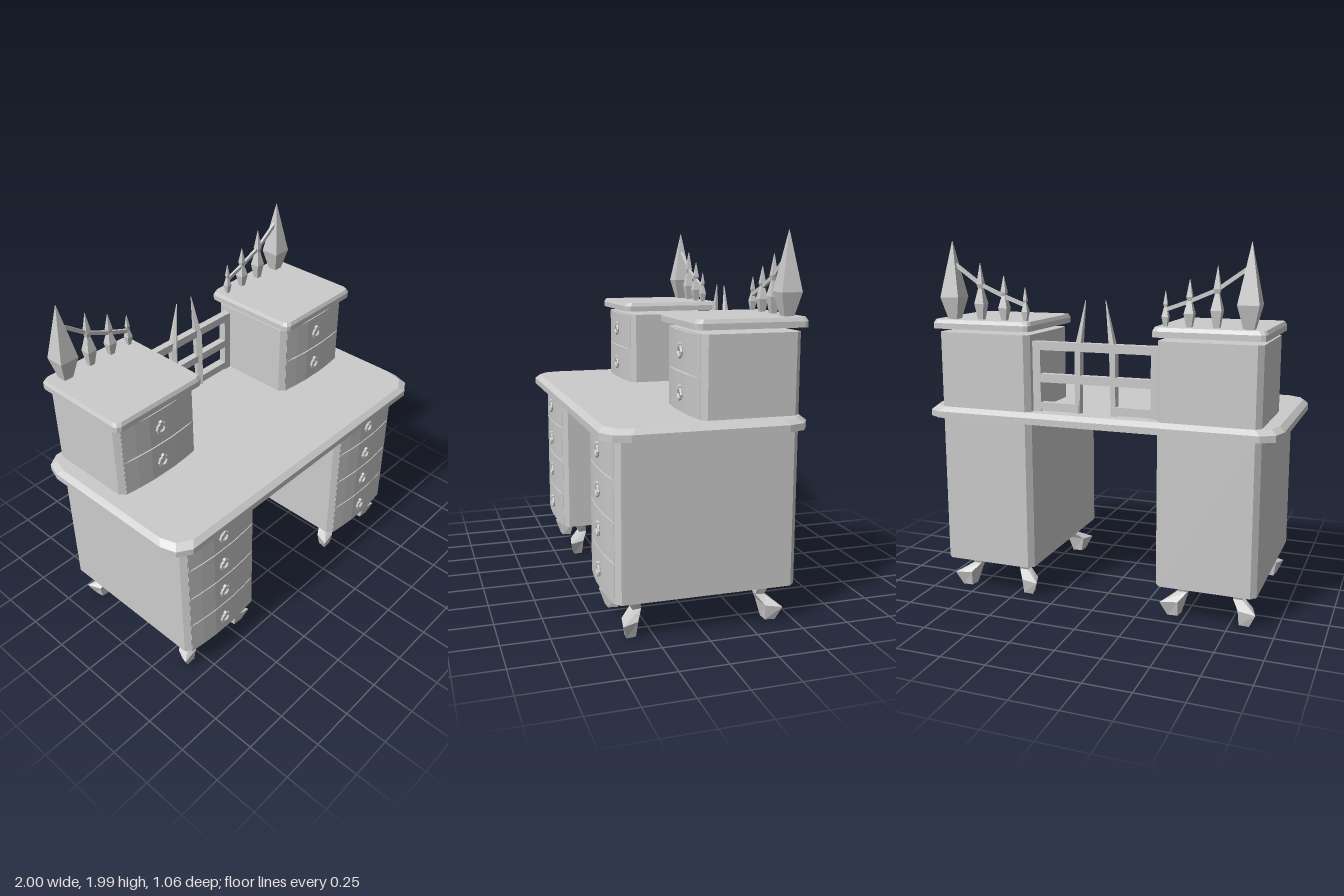
import * as THREE from 'three';

const material = new THREE.MeshStandardMaterial({ color: 0xcccccc, flatShading: true });

function addMesh(parent, name, geometry, x = 0, y = 0, z = 0) {
  const mesh = new THREE.Mesh(geometry, material);
  mesh.name = name;
  mesh.position.set(x, y, z);
  parent.add(mesh);
  return mesh;
}

// Skin a stack of rings (each a list of [x, y, z]), bottom to top, with capped ends
function loft(rings) {
  const n = rings[0].length;
  const area = rings[0].reduce((s, p, i) => {
    const q = rings[0][(i + 1) % n];
    return s + p[0] * q[2] - q[0] * p[2];
  }, 0);
  if (area > 0) rings = rings.map((r) => [...r].reverse());
  const pos = [];
  const tri = (a, b, c) => pos.push(...a, ...b, ...c);
  for (let k = 0; k + 1 < rings.length; k++) {
    for (let i = 0; i < n; i++) {
      const j = (i + 1) % n, lo = rings[k], up = rings[k + 1];
      tri(lo[i], lo[j], up[j]);
      tri(lo[i], up[j], up[i]);
    }
  }
  const bottom = rings[0], top = rings[rings.length - 1];
  for (let i = 1; i + 1 < n; i++) {
    tri(bottom[0], bottom[i + 1], bottom[i]);
    tri(top[0], top[i], top[i + 1]);
  }
  const geometry = new THREE.BufferGeometry();
  geometry.setAttribute('position', new THREE.Float32BufferAttribute(pos, 3));
  geometry.computeVertexNormals();
  return geometry;
}

const ringAt = (outline, y) => outline.map(([x, z]) => [x, y, z]);
const prism = (outline, y0, y1) => loft([ringAt(outline, y0), ringAt(outline, y1)]);

// Rectangle with rounded corners: half sizes hx, hz and corner cuts cx, cz
function roundedOutline(hx, hz, cx, cz) {
  const corner = [[hx, hz - cz], [hx - cx * 0.27, hz - cz * 0.35], [hx - cx, hz]];
  const flip = (sx, sz) => corner.map(([x, z]) => [x * sx, z * sz]);
  return [...flip(1, 1).reverse(), ...flip(1, -1), ...flip(-1, -1).reverse(), ...flip(-1, 1)];
}

// Slab with a bevelled upper edge
function slab(hx, hz, cx, cz, y0, yEdge, y1, inset) {
  const outer = roundedOutline(hx, hz, cx, cz);
  const inner = roundedOutline(hx - inset, hz - inset, cx, cz);
  return loft([ringAt(outer, y0), ringAt(outer, yEdge), ringAt(inner, y1)]);
}

// Chest with chamfered corners and a bowed stack of drawers
function chest(parent, name, front, levels, handleYs) {
  const group = new THREE.Group();
  group.name = name;
  const y0 = levels[0], y1 = levels[levels.length - 1];
  addMesh(group, 'carcass', prism([
    [0.244, front], [0.272, front - 0.028], [0.272, -0.47], [0.244, -0.5],
    [-0.244, -0.5], [-0.272, -0.47], [-0.272, front - 0.028], [-0.244, front],
  ], y0, y1));
  const bow = [
    [0.242, front - 0.02], [-0.242, front - 0.02], [-0.242, front + 0.002], [-0.16, front + 0.012],
    [-0.07, front + 0.019], [0.07, front + 0.019], [0.16, front + 0.012], [0.242, front + 0.002],
  ];
  for (let i = 0; i + 1 < levels.length; i++) {
    addMesh(group, 'drawer', prism(bow, levels[i] + (i ? 0.004 : 0), levels[i + 1] - 0.004));
  }
  for (const y of handleYs) {
    const pull = addMesh(group, 'ringPull', new THREE.TorusGeometry(0.027, 0.01, 6, 8), 0, y - 0.004, front + 0.024);
    pull.scale.z = 0.9;
    const boss = addMesh(group, 'pullBoss', new THREE.CylinderGeometry(0.012, 0.014, 0.024, 6), 0, y + 0.03, front + 0.022);
    boss.rotation.x = Math.PI / 2;
  }
  parent.add(group);
}

// Bent leg: each section has an outer and an inner corner [x, y, z] and a half width
function legGeometry(sx, sz) {
  const sections = [
    [[0.225, 0, 0.4], [0.16, 0, 0.345], 0.024],
    [[0.262, 0.078, 0.425], [0.135, 0.09, 0.325], 0.034],
    [[0.177, 0.125, 0.355], [0.123, 0.13, 0.312], 0.024],
    [[0.203, 0.2, 0.39], [0.134, 0.2, 0.32], 0.032],
  ];
  return loft(sections.map(([o, i, w]) => {
    const m = o.map((v, k) => (v + i[k]) / 2);
    return [o, [m[0] + w, m[1], m[2] - w], i, [m[0] - w, m[1], m[2] + w]]
      .map(([x, y, z]) => [x * sx, y, z * sz - 0.01]);
  }));
}

// Square spike from [y, half width] steps
function spike(steps) {
  return loft(steps.map(([y, h]) => ringAt([[h, h], [h, -h], [-h, -h], [-h, h]], y)));
}

// Spiked crest on a cabinet top, in the model's own x
function crest(parent, side) {
  const group = new THREE.Group();
  group.name = 'crest';
  const z = -0.448;
  addMesh(group, 'largeSpike', spike([[1.565, 0.025], [1.69, 0.055], [1.99, 0.001]]), side * 0.82, 0, z);
  for (const [x, tip, h] of [[0.655, 1.875, 0.028], [0.515, 1.81, 0.025], [0.39, 1.75, 0.017]]) {
    const at = (t) => 1.565 + (tip - 1.565) * t;
    addMesh(group, 'smallSpike', spike([
      [at(0), h * 0.5], [at(0.3), h], [at(0.56), h * 0.4], [at(0.64), h * 0.6], [tip, 0.001],
    ]), side * x, 0, z);
  }
  const path = [[0.805, 1.865], [0.655, 1.76], [0.515, 1.7], [0.39, 1.655]];
  for (let i = 0; i < 3; i++) {
    const [ax, ay] = path[i], [bx, by] = path[i + 1];
    const dx = (bx - ax) * side, dy = by - ay;
    const bar = addMesh(group, 'crestRail', new THREE.BoxGeometry(Math.hypot(dx, dy), 0.02, 0.016),
      side * (ax + bx) / 2, (ay + by) / 2, z);
    bar.rotation.z = Math.atan(dy / dx);
  }
  parent.add(group);
}

export function createModel() {
  const model = new THREE.Group();
  model.name = 'dressingDesk';

  addMesh(model, 'desktop', slab(1, 0.53, 0.1, 0.13, 1.025, 1.06, 1.085, 0.028));

  for (const side of [1, -1]) {
    const half = new THREE.Group();
    half.name = side > 0 ? 'leftPedestal' : 'rightPedestal';
    half.position.x = side * 0.629;
    model.add(half);
    chest(half, 'lowerChest', 0.453, [0.195, 0.4, 0.61, 0.82, 1.03], [0.29, 0.505, 0.71, 0.915]);
    chest(half, 'upperChest', 0.02, [1.08, 1.29, 1.5], [1.18, 1.395]);
    addMesh(half, 'cabinetTop', slab(0.292, 0.295, 0.03, 0.03, 1.522, 1.552, 1.572, 0.01), 0, 0, -0.235);
    for (const sx of [1, -1]) {
      for (const sz of [1, -1]) addMesh(half, 'leg', legGeometry(sx, sz));
    }
    crest(model, side);

    // Lattice side post and short bottom rail
    addMesh(model, 'latticePost', new THREE.BoxGeometry(0.046, 0.38, 0.044), side * 0.335, 1.272, -0.422);
    addMesh(model, 'bottomRail', new THREE.BoxGeometry(0.24, 0.045, 0.04), side * 0.215, 1.112, -0.422);

    // Horn-like post leaning inwards at the tip
    const horn = [[1.08, 0.102, 0.019, 0.026], [1.43, 0.098, 0.023, 0.032], [1.69, 0.056, 0.002, 0.002]];
    addMesh(model, 'hornPost', loft(horn.map(([y, x, rx, rz]) =>
      [[1, 0.3], [0.2, 1], [-1, 0.3], [-0.7, -0.8], [0.7, -0.8]]
        .map(([u, v]) => [side * (x + u * rx), y, -0.415 + v * rz]))));
  }

  // Long lattice rails
  for (const y of [1.442, 1.268]) {
    addMesh(model, 'latticeRail', new THREE.BoxGeometry(0.72, 0.046, 0.042), 0, y, -0.422);
  }
  return model;
}
